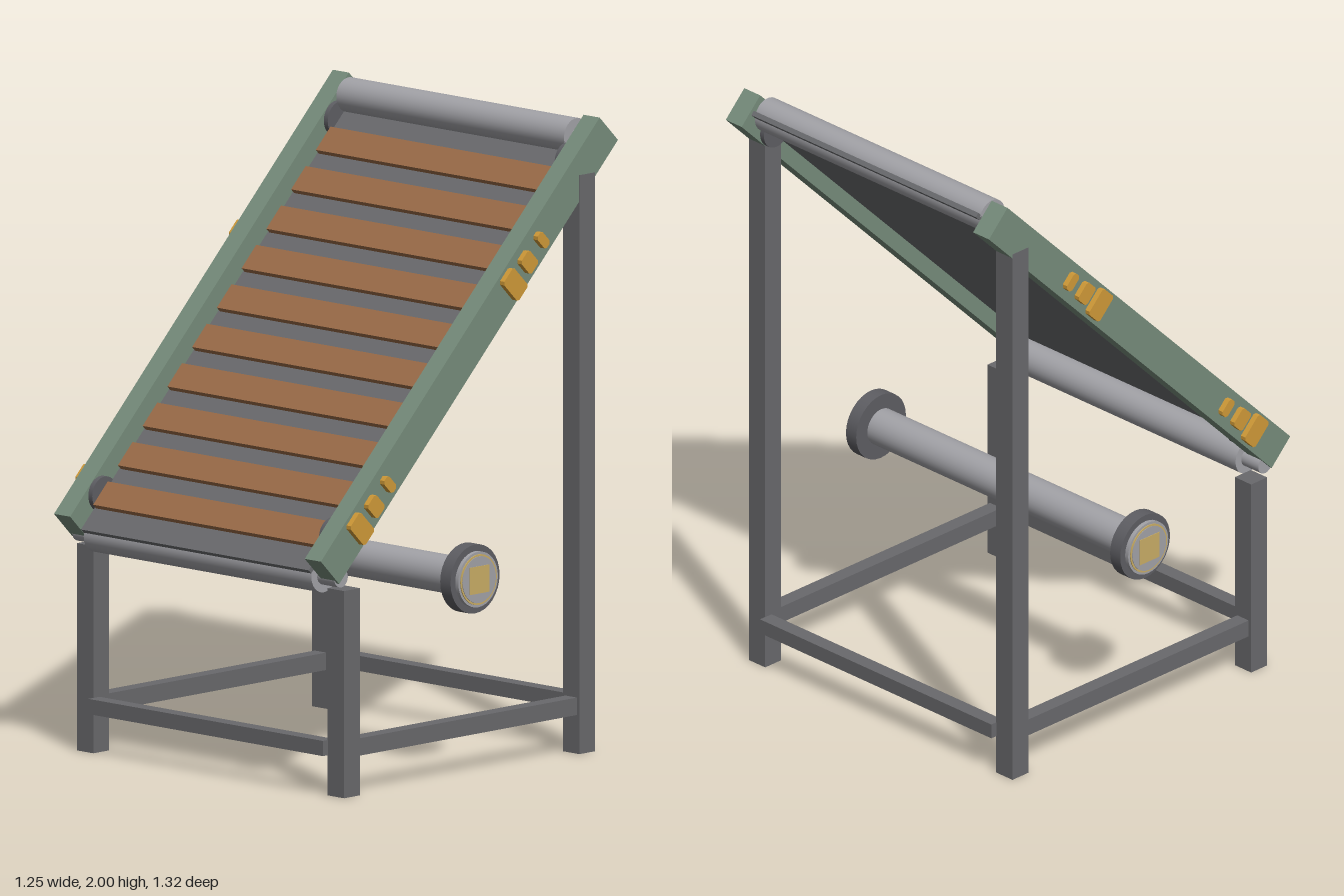
import * as THREE from 'three';

const mat = (name, hex, extra = {}) => new THREE.MeshStandardMaterial({ name, color: hex, ...extra });

export function createModel() {
  const model = new THREE.Group();
  model.name = 'inclinedConveyor';

  const legGrey = mat('legGrey', 0x69696c);
  const railGreen = mat('railGreen', 0x768c7b);
  const beltGrey = mat('beltGrey', 0x6a6b6e);
  const slatBrown = mat('slatBrown', 0x9b6c48);
  const rollerGrey = mat('rollerGrey', 0xa2a2a7);
  const amber = mat('amber', 0xd09a38);
  const flangeGrey = mat('flangeGrey', 0x5e5e63);
  const paleGold = mat('paleGold', 0xc9ad66);

  const add = (parent, name, geometry, material, x, y, z) => {
    const mesh = new THREE.Mesh(geometry, material);
    mesh.name = name;
    mesh.position.set(x, y, z);
    parent.add(mesh);
    return mesh;
  };
  const box = (parent, name, w, h, d, material, x, y, z) =>
    add(parent, name, new THREE.BoxGeometry(w, h, d), material, x, y, z);
  // cylinder lying along x
  const rod = (parent, name, r, length, material, x, y, z) =>
    add(parent, name, new THREE.CylinderGeometry(r, r, length, 32).rotateZ(Math.PI / 2), material, x, y, z);

  // chamfered block, extruded along x from its own centre
  const badgeGeometry = (across, along, thick) => {
    const a = across / 2, b = along / 2, c = 0.008;
    const shape = new THREE.Shape([
      [-b + c, -a], [b - c, -a], [b, -a + c], [b, a - c],
      [b - c, a], [-b + c, a], [-b, a - c], [-b, -a + c],
    ].map(([x, y]) => new THREE.Vector2(x, y)));
    return new THREE.ExtrudeGeometry(shape, { depth: thick, bevelEnabled: false })
      .translate(0, 0, -thick / 2).rotateY(Math.PI / 2);
  };

  // tilted bed: local z runs down the slope, local y is its normal
  const bed = new THREE.Group();
  bed.name = 'tiltedBed';
  bed.position.set(0, 1.34, 0);
  bed.rotation.x = Math.PI / 4;
  model.add(bed);

  box(bed, 'belt', 0.99, 0.016, 1.766, beltGrey, 0, -0.004, 0);
  for (let i = 0; i < 10; i++) {
    box(bed, 'slat', 0.975, 0.026, 0.092, slatBrown, 0, 0.01, -0.647 + i * 0.1555);
  }
  rod(bed, 'topRoller', 0.055, 0.99, rollerGrey, 0, 0.023, -0.818);
  rod(bed, 'bottomRoller', 0.055, 0.99, rollerGrey, 0, -0.06, 0.852);
  rod(bed, 'topShaft', 0.025, 1.1, rollerGrey, 0, 0.02, -0.818);
  rod(bed, 'bottomShaft', 0.03, 1.14, rollerGrey, 0, -0.06, 0.852);

  for (const s of [-1, 1]) {
    box(bed, 'sideRail', 0.07, 0.115, 1.752, railGreen, s * 0.545, 0, 0);
    // amber markers shrinking up the slope
    for (const start of [-0.264, 0.7]) {
      [[0.094, 0.066, 0], [0.064, 0.053, -0.088], [0.058, 0.032, -0.175]].forEach(([across, along, dz]) =>
        add(bed, 'railMarker', badgeGeometry(across, along, 0.024), amber, s * 0.587, 0, start + dz));
    }
    // bearing discs inside the rails
    for (const z of [-0.74, 0.74]) rod(bed, 'bearing', 0.056, 0.022, flangeGrey, s * 0.504, 0, z);
  }

  // frame
  for (const s of [-1, 1]) {
    box(model, 'frontLeg', 0.072, 0.655, 0.07, legGrey, s * 0.545, 0.3275, 0.523);
    box(model, 'backLeg', 0.072, 1.83, 0.07, legGrey, s * 0.545, 0.915, -0.523);
    box(model, 'sideBar', 0.05, 0.055, 1.0, legGrey, s * 0.545, 0.15, 0);
    box(model, 'crossBar', 1.02, 0.048, 0.05, legGrey, 0, 0.151, s * 0.555);
  }

  // lower drum with flanged, capped ends
  const drum = new THREE.Group();
  drum.name = 'lowerDrum';
  drum.position.set(0, 0.622, 0);
  model.add(drum);
  rod(drum, 'drumTube', 0.06, 1.14, rollerGrey, 0, 0, 0);
  for (const s of [-1, 1]) {
    rod(drum, 'flange', 0.109, 0.045, flangeGrey, s * 0.582, 0, 0);
    rod(drum, 'cap', 0.088, 0.014, rollerGrey, s * 0.611, 0, 0);
    rod(drum, 'capRing', 0.08, 0.004, paleGold, s * 0.619, 0, 0);
    rod(drum, 'capFace', 0.074, 0.005, rollerGrey, s * 0.6205, 0, 0);
    box(drum, 'capPlate', 0.006, 0.086, 0.086, paleGold, s * 0.622, 0, 0);
  }

  return model;
}
